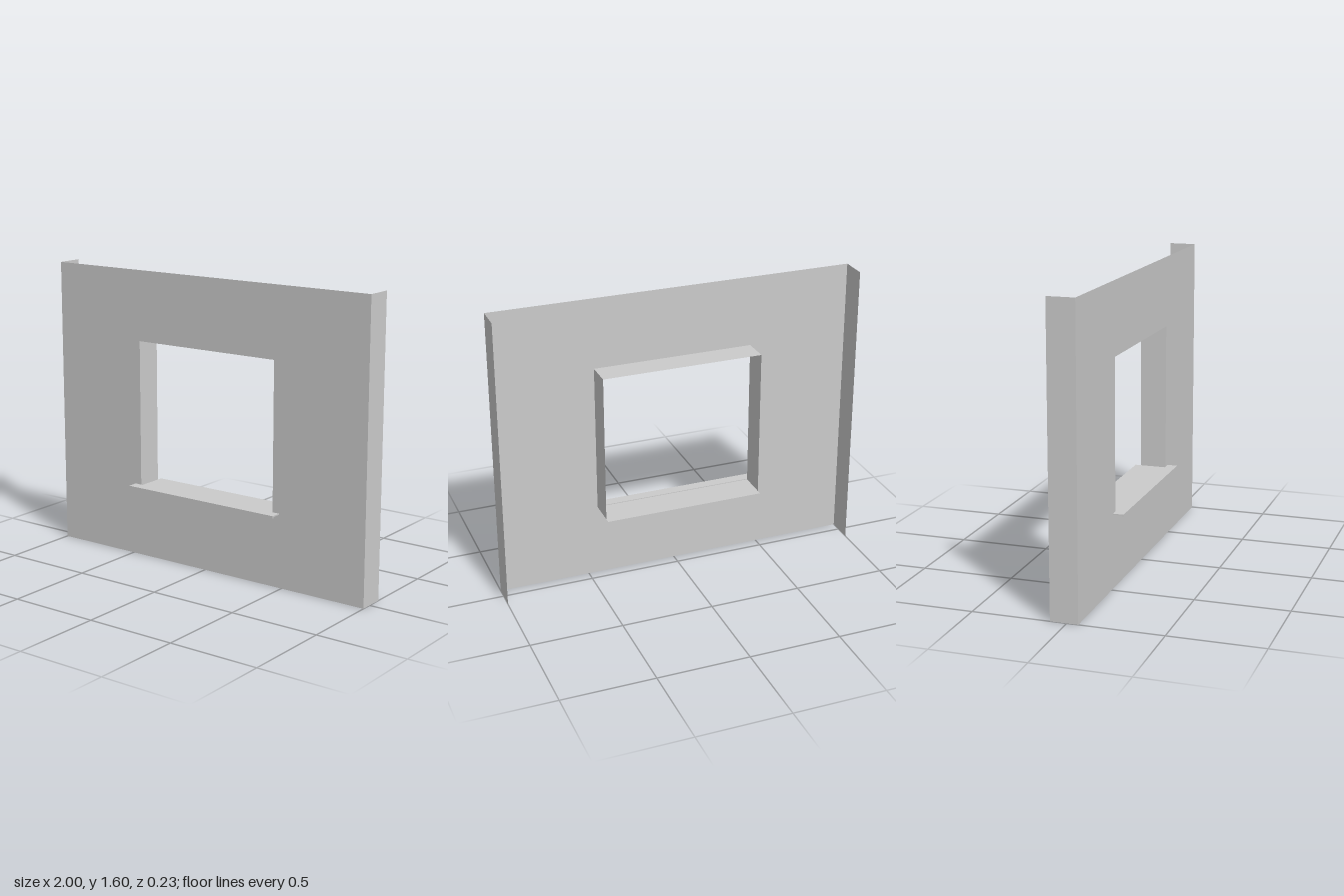
import * as THREE from 'three';

export function createModel() {
  const model = new THREE.Group();
  const material = new THREE.MeshStandardMaterial({
    color: 0xcccccc, side: THREE.DoubleSide, flatShading: true,
  });

  const W = 1, H = 1.6;                            // wall half width and height
  const FRONT = 0.06, BACK = -0.087, EDGE = -0.117; // depths
  const OX = 0.44, OY0 = 0.402, OY1 = 1.213;       // window opening
  const depth = FRONT - BACK, midZ = (FRONT + BACK) / 2;

  function add(name, geometry, x = 0, y = 0, z = 0) {
    const mesh = new THREE.Mesh(geometry, material);
    mesh.name = name;
    mesh.position.set(x, y, z);
    model.add(mesh);
    return mesh;
  }
  const upright = (height, side) =>
    new THREE.PlaneGeometry(depth, height).rotateY(side * Math.PI / 2);
  const level = (width, deep, facing) =>
    new THREE.PlaneGeometry(width, deep).rotateX(-facing * Math.PI / 2);

  // Wall sheet with the window opening
  const wall = new THREE.Shape([
    new THREE.Vector2(-W, 0), new THREE.Vector2(W, 0),
    new THREE.Vector2(W, H), new THREE.Vector2(-W, H),
  ]);
  wall.holes.push(new THREE.Path([
    new THREE.Vector2(-OX, OY0), new THREE.Vector2(-OX, OY1),
    new THREE.Vector2(OX, OY1), new THREE.Vector2(OX, OY0),
  ]));
  add('wallFace', new THREE.ShapeGeometry(wall), 0, 0, FRONT);

  // Wall end returns and window jambs
  for (const side of [-1, 1]) {
    const label = side > 0 ? 'left' : 'right';
    add(label + 'WallReturn', upright(H, side), side * W, H / 2, midZ);
    add(label + 'Jamb', upright(OY1 - OY0, -side), side * OX, (OY0 + OY1) / 2, midZ);
  }

  // Top and bottom of the opening, with a narrow ledge behind the bottom
  add('lintel', level(2 * OX, depth, -1), 0, OY1, midZ);
  add('openingFloor', level(2 * OX, depth, 1), 0, OY0, midZ);
  add('rearLedge', level(2 * OX, BACK - EDGE, 1), 0, OY0, (BACK + EDGE) / 2);

  // Projecting sill with a small drip lip, as an L profile run along x
  const tip = 0.117, top = 0.406, under = 0.4, drip = 0.393;
  const profile = new THREE.Shape([
    new THREE.Vector2(-tip, drip), new THREE.Vector2(-tip + 0.006, drip),
    new THREE.Vector2(-tip + 0.006, under), new THREE.Vector2(-FRONT, under),
    new THREE.Vector2(-FRONT, top), new THREE.Vector2(-tip, top),
  ]);
  const sill = new THREE.ExtrudeGeometry(profile, { depth: 0.96, bevelEnabled: false });
  add('sill', sill.rotateY(Math.PI / 2), -0.48);

  return model;
}
